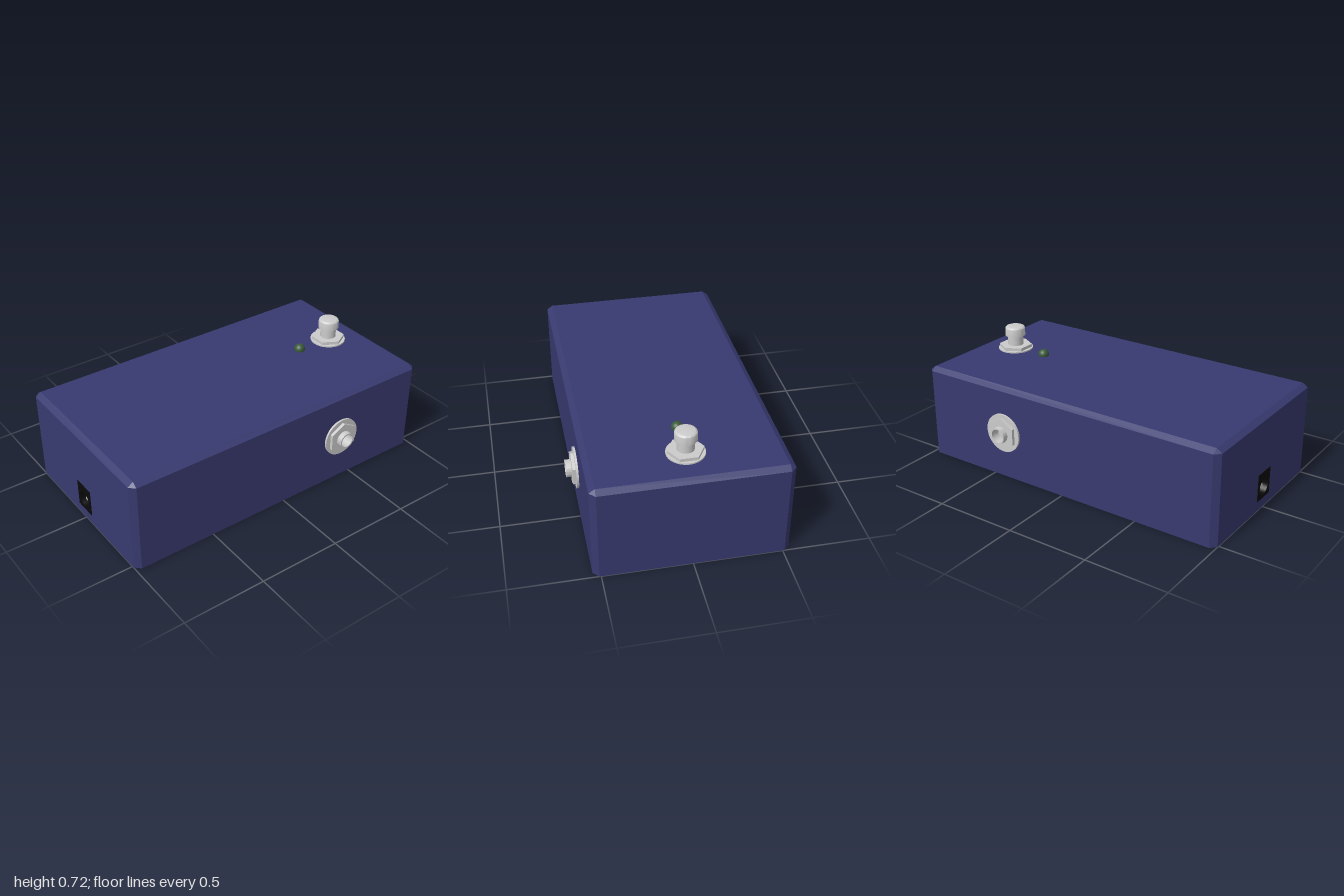
import * as THREE from 'three';
import { toCreasedNormals } from 'three/addons/utils/BufferGeometryUtils.js';

const paint = (color) => new THREE.MeshStandardMaterial({ color });
const metal = paint(0xcccccc);
const blue = paint(0x383a70);
const black = paint(0x0a0a0a);
const green = paint(0x3a5a3a);

// enclosure dimensions and the power socket opening
const X = 1, Z = 0.543, H = 0.57, C = 0.033, SHOULDER = 0.547;
const SOCKET = { y0: 0.06, y1: 0.225, half: 0.07 };

function mesh(name, geometry, material) {
  const m = new THREE.Mesh(geometry, material);
  m.name = name;
  return m;
}

function cylinder(name, radius, y0, y1, sides = 48, material = metal) {
  const m = mesh(name, new THREE.CylinderGeometry(radius, radius, y1 - y0, sides), material);
  if (sides < 12) m.geometry = toCreasedNormals(m.geometry, 0.5);
  m.position.y = (y0 + y1) / 2;
  return m;
}

function lathe(name, points, material) {
  const profile = points.map(([r, y]) => new THREE.Vector2(r, y));
  return mesh(name, toCreasedNormals(new THREE.LatheGeometry(profile, 48), 0.6), material);
}

function rectangle(x0, y0, x1, y1) {
  return new THREE.Shape([[x0, y0], [x1, y0], [x1, y1], [x0, y1]].map(([x, y]) => new THREE.Vector2(x, y)));
}

// Box with chamfered upright and top edges; its -x wall is cut for the socket
function enclosure() {
  const x = X - C, z = Z - C;
  const outline = [[X, -z], [X, z], [x, Z], [-x, Z], [-X, z], [-X, -z], [-x, -Z], [x, -Z]];
  const ring = (y, inset) => outline.map(([px, pz]) => (
    inset ? [Math.sign(px) * x, y, Math.sign(pz) * z] : [px, y, pz]));
  const rings = [ring(0), ring(SHOULDER), ring(H, true)];
  const positions = [];
  const tri = (...corners) => corners.forEach((c) => positions.push(...c));
  for (let i = 0; i < 8; i++) {
    const j = (i + 1) % 8;
    for (let k = 0; k < 2; k++) {
      if (k === 0 && i === 4) continue;
      const lo = rings[k], hi = rings[k + 1];
      tri(lo[i], hi[i], hi[j]);
      tri(lo[i], hi[j], lo[j]);
    }
    if (i > 0 && i < 7) {
      tri(rings[0][0], rings[0][i], rings[0][j]);
      tri(rings[2][0], rings[2][j], rings[2][i]);
    }
  }
  const shell = new THREE.BufferGeometry();
  shell.setAttribute('position', new THREE.Float32BufferAttribute(positions, 3));
  shell.computeVertexNormals();

  const wall = rectangle(-z, 0, z, SHOULDER);
  wall.holes.push(rectangle(-SOCKET.half, SOCKET.y0, SOCKET.half, SOCKET.y1));
  const socketWall = mesh('socketWall', new THREE.ShapeGeometry(wall), blue);
  socketWall.rotation.y = -Math.PI / 2;
  socketWall.position.x = -X;

  const group = new THREE.Group();
  group.name = 'enclosure';
  group.add(mesh('shell', shell, blue), socketWall);
  return group;
}

// Black insert with a round hole and a centre pin
function powerSocket() {
  const group = new THREE.Group();
  group.name = 'powerSocket';
  const { y0, y1, half } = SOCKET, depth = 0.1, pinY = 0.13;
  const face = rectangle(-half, y0, half, y1);
  face.holes.push(new THREE.Path().absarc(0, pinY, 0.05, 0, Math.PI * 2, true));
  const housing = mesh('socketHousing',
    new THREE.ExtrudeGeometry(face, { depth, bevelEnabled: false, curveSegments: 24 }), black);
  const back = mesh('socketBack', new THREE.BoxGeometry(half * 2, y1 - y0, 0.01), black);
  back.position.set(0, (y0 + y1) / 2, -0.005);
  const pin = cylinder('socketPin', 0.012, 0, 0.085, 20);
  pin.rotation.x = Math.PI / 2;
  pin.position.set(0, pinY, 0.0425);
  group.add(housing, back, pin);
  group.rotation.y = -Math.PI / 2;
  group.position.x = -X - 0.003 + depth;
  return group;
}

// Hollow threaded jack with washer and hex nut, pointing along local +y
function audioJack(name) {
  const group = new THREE.Group();
  group.name = name;
  group.add(
    cylinder('jackWasher', 0.118, 0, 0.012),
    cylinder('jackNut', 0.1, 0.012, 0.03, 6),
    lathe('jackBarrel', [[0.05, 0], [0.05, 0.062], [0.041, 0.062], [0.041, 0.004], [0, 0.004]], metal));
  // the inner floor sits just above the nut's base, so the nut and washer are rings
  group.children[0].geometry = ringGeometry(0.118, 0.012, 48);
  group.children[1].geometry = ringGeometry(0.1, 0.018, 6);
  return group;
}

// Flat ring centred on its own height, round or hexagonal outside
function ringGeometry(radius, height, sides) {
  const shape = new THREE.Shape();
  for (let i = 0; i < sides; i++) {
    const a = Math.PI / 2 + (i / sides) * Math.PI * 2;
    shape[i ? 'lineTo' : 'moveTo'](radius * Math.cos(a), radius * Math.sin(a));
  }
  shape.holes.push(new THREE.Path().absarc(0, 0, 0.049, 0, Math.PI * 2, true));
  const g = new THREE.ExtrudeGeometry(shape, { depth: height, bevelEnabled: false, curveSegments: 24 });
  g.translate(0, 0, -height / 2).rotateX(-Math.PI / 2);
  return toCreasedNormals(g, 0.5);
}

// Push switch with washer, nut, shaft and rounded cap
function footSwitch() {
  const group = new THREE.Group();
  group.name = 'footSwitch';
  const cap = [[0, 0.09], [0.062, 0.09]];
  for (let i = 0; i <= 6; i++) {
    const a = (i / 6) * Math.PI / 2;
    cap.push([0.047 + 0.015 * Math.cos(a), 0.133 + 0.015 * Math.sin(a)]);
  }
  cap.push([0, 0.148]);
  group.add(
    cylinder('switchWasher', 0.107, 0.003, 0.011),
    cylinder('switchNut', 0.101, 0.011, 0.03, 6),
    cylinder('switchShaft', 0.048, -0.02, 0.095),
    lathe('switchCap', cap, metal));
  group.position.set(0.765, H, 0);
  return group;
}

export function createModel() {
  const model = new THREE.Group();
  model.name = 'effectPedal';
  model.add(enclosure(), powerSocket(), footSwitch());

  // jacks on the front and back walls
  for (const side of [1, -1]) {
    const jack = audioJack(side > 0 ? 'frontJack' : 'backJack');
    jack.rotation.x = side * Math.PI / 2;
    jack.position.set(0.415, 0.288, side * Z);
    model.add(jack);
  }

  // indicator lamp
  const lamp = mesh('indicatorLamp', new THREE.SphereGeometry(0.033, 32, 20), green);
  lamp.position.set(0.54, 0.578, -0.003);
  model.add(lamp);
  return model;
}
